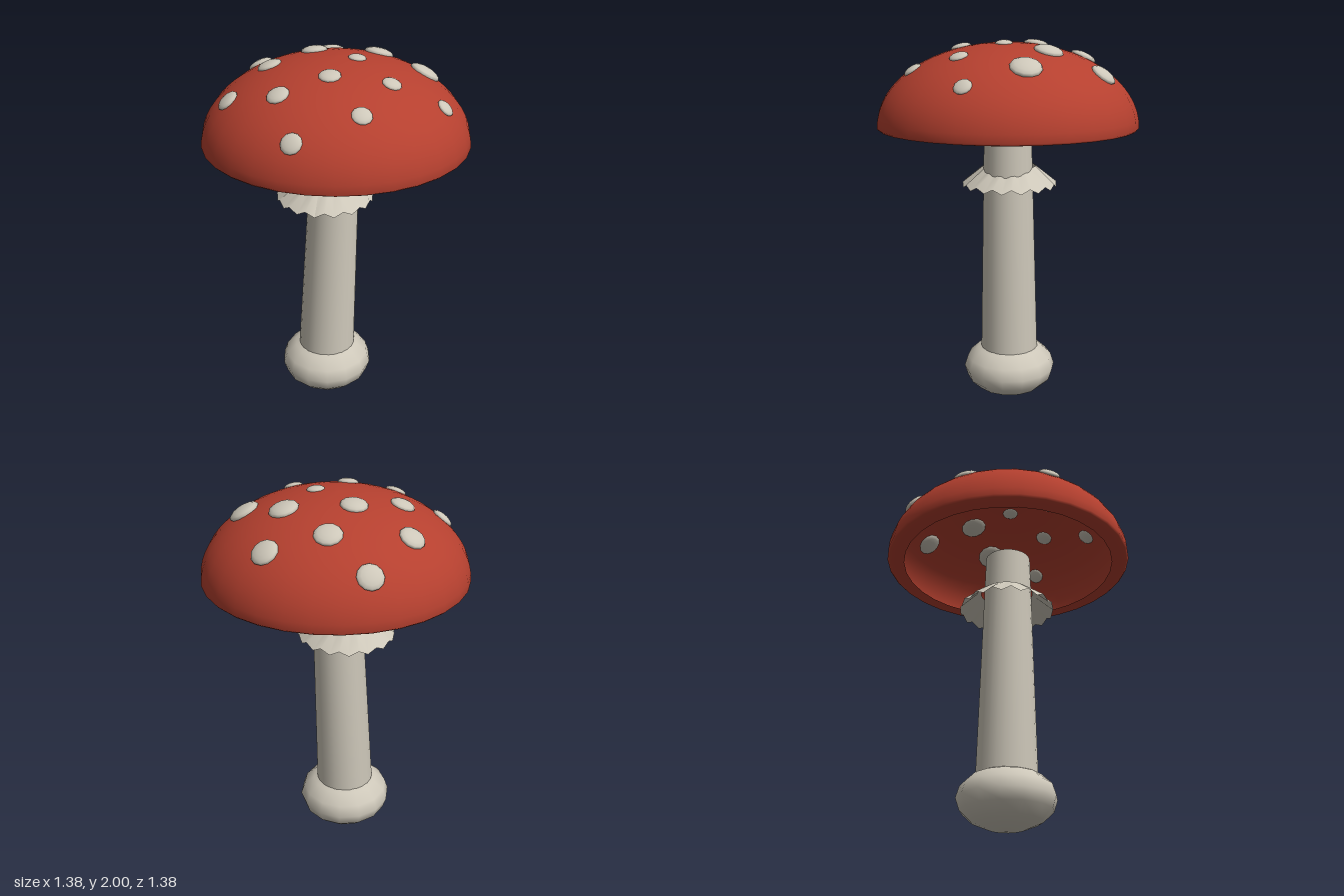
import * as THREE from 'three';

const CAP_R = 0.69, CAP_H = 0.435, CAP_Y = 1.55;

function material(name, color, options = {}) {
  const m = new THREE.MeshStandardMaterial({ color, ...options });
  m.name = name;
  return m;
}

export function createModel() {
  const model = new THREE.Group();
  model.name = 'mushroom';
  const red = material('cap red', 0xb5402f, { side: THREE.DoubleSide });
  const cream = material('cream', 0xcdc7b9, { side: THREE.DoubleSide });

  const add = (name, geometry, mat, parent = model) => {
    const mesh = new THREE.Mesh(geometry, mat);
    mesh.name = name;
    parent.add(mesh);
    return mesh;
  };

  // Bulb at the foot of the stem
  const bulb = add('bulb', new THREE.SphereGeometry(1, 14, 8), cream);
  bulb.scale.set(0.258, 0.16, 0.258);
  bulb.position.set(-0.057, 0.16, 0);

  // Tapered stem, sheared so that it leans towards the cap centre
  const bottom = 0.16, top = 1.58;
  const stemGeo = new THREE.CylinderGeometry(0.126, 0.163, top - bottom, 24);
  stemGeo.translate(0, (top + bottom) / 2, 0);
  const sp = stemGeo.attributes.position;
  for (let i = 0; i < sp.count; i++) {
    const t = (sp.getY(i) - bottom) / (top - bottom);
    sp.setX(i, sp.getX(i) - 0.061 * (1 - t));
  }
  stemGeo.computeBoundingSphere();
  add('stem', stemGeo, cream);

  // Flared skirt ring with a zigzag hem
  const teeth = 16;
  const ringGeo = new THREE.CylinderGeometry(0.142, 0.257, 0.1, teeth * 2, 1, true);
  const rp = ringGeo.attributes.position;
  for (let i = 0; i < rp.count; i++) {
    const column = i % (teeth * 2 + 1);
    const hem = column % 2 ? 1.235 : 1.21;
    rp.setY(i, rp.getY(i) > 0 ? 1.325 : hem);
  }
  ringGeo.computeVertexNormals();
  const ring = add('skirtRing', ringGeo, cream);
  ring.position.x = -0.06;

  // Hollow cap: in-turned lip, then an elliptical dome
  const profile = [
    new THREE.Vector2(0.595, 1.536),
    new THREE.Vector2(0.65, 1.535),
    new THREE.Vector2(0.68, 1.54),
  ];
  for (let i = 0; i <= 16; i++) {
    const a = (i / 16) * Math.PI / 2;
    profile.push(new THREE.Vector2(
      i === 16 ? 0 : CAP_R * Math.cos(a), CAP_Y + CAP_H * Math.sin(a)));
  }
  add('cap', new THREE.LatheGeometry(profile, 32), red);

  // Flattened spots lying on the dome: x, z, radius
  const spots = new THREE.Group();
  spots.name = 'spots';
  model.add(spots);
  const spotGeo = new THREE.SphereGeometry(1, 12, 8);
  const up = new THREE.Vector3(0, 1, 0);
  [
    [-0.34, -0.485, 0.066], [-0.104, -0.385, 0.07], [0.16, -0.505, 0.07],
    [0.178, -0.233, 0.076], [0.426, -0.155, 0.081], [-0.444, -0.185, 0.067],
    [-0.14, -0.13, 0.069], [-0.326, 0.056, 0.063], [0.107, 0.003, 0.046],
    [0.307, 0.194, 0.049], [0.558, 0.122, 0.047], [0.02, 0.245, 0.055],
    [-0.478, 0.274, 0.059], [-0.198, 0.378, 0.057], [0.211, 0.456, 0.05],
    [-0.08, 0.607, 0.053],
  ].forEach(([x, z, r]) => {
    const rise = CAP_H * Math.sqrt(1 - (x * x + z * z) / (CAP_R * CAP_R));
    const normal = new THREE.Vector3(
      x / CAP_R ** 2, rise / CAP_H ** 2, z / CAP_R ** 2).normalize();
    const spot = add('spot', spotGeo, cream, spots);
    spot.position.set(x, CAP_Y + rise, z);
    spot.quaternion.setFromUnitVectors(up, normal);
    spot.scale.set(r, r * 0.37, r);
  });

  return model;
}
